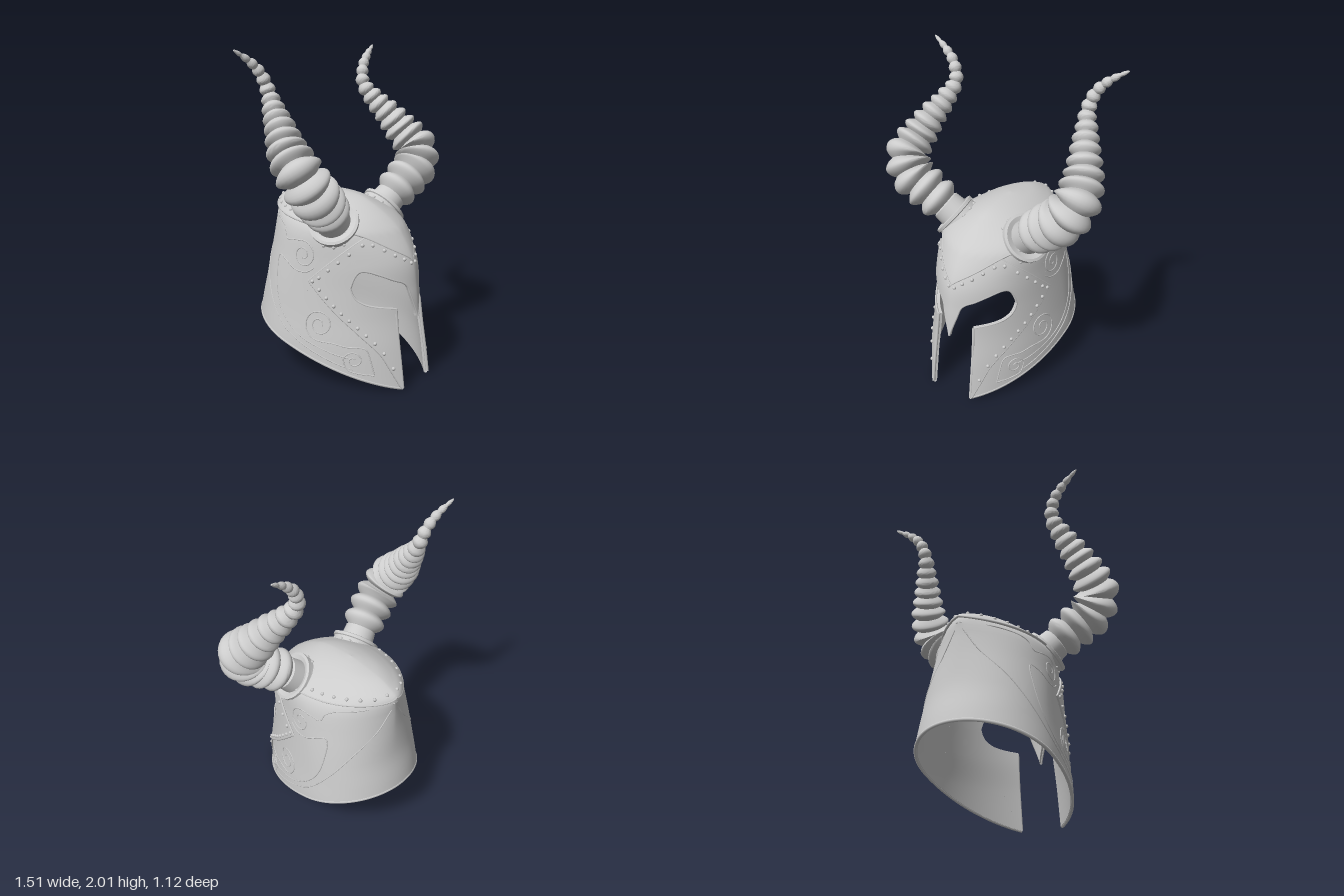
import * as THREE from 'three';
import { toCreasedNormals } from 'three/addons/utils/BufferGeometryUtils.js';

const grey = new THREE.MeshStandardMaterial({ color: 0xcccccc, side: THREE.DoubleSide });
const V = (x, y, z) => new THREE.Vector3(x, y, z);

// Smooth interpolation through [key, value] pairs
function lookup(t, k) {
  const n = t.length - 1;
  if (k <= t[0][0]) return t[0][1];
  if (k >= t[n][0]) return t[n][1];
  let i = 0;
  while (k > t[i + 1][0]) i++;
  const slope = (a, b) => (t[b][1] - t[a][1]) / (t[b][0] - t[a][0]);
  const h = t[i + 1][0] - t[i][0], s = (k - t[i][0]) / h;
  const m0 = slope(Math.max(i - 1, 0), i + 1) * h, m1 = slope(i, Math.min(i + 2, n)) * h;
  return (2 * s ** 3 - 3 * s * s + 1) * t[i][1] + (s ** 3 - 2 * s * s + s) * m0
    + (3 * s * s - 2 * s ** 3) * t[i + 1][1] + (s ** 3 - s * s) * m1;
}

// Horizontal sections of the helmet by height: front, back, half width, centre
const TOP = 1.131;
const keys = [0, 0.25, 0.43, 0.6, 0.77, 0.93, 0.99, 1.04, 1.067, 1.103, 1.123, TOP];
const table = v => v.map((e, i) => [keys[i], e]);
const front = table([0.618, 0.58, 0.549, 0.532, 0.503, 0.415, 0.35, 0.275, 0.225, 0.14, 0.03, -0.1]);
const back = table([-0.61, -0.58, -0.546, -0.506, -0.488, -0.48, -0.48, -0.476, -0.432, -0.33, -0.19, -0.1]);
const width = table([0.43, 0.42, 0.4, 0.383, 0.365, 0.345, 0.31, 0.235, 0.19, 0.115, 0.05, 0]);
const centre = table([-0.15, -0.14, -0.13, -0.11, -0.06, 0, 0, -0.03, -0.06, -0.08, -0.09, -0.1]);

// Helmet surface: angle a runs from the nose (0) over the left side to the back (PI)
function surface(a, y) {
  const c = Math.cos(a), s = Math.sin(a), zc = lookup(centre, y);
  const reach = c > 0 ? lookup(front, y) - zc : zc - lookup(back, y);
  const high = THREE.MathUtils.smoothstep(y, 0.6, 1);
  const p = 1 + (c > 0 ? 0.25 : 0.3 * high) * Math.abs(c);
  return V(lookup(width, y) * Math.sign(s) * Math.abs(s) ** p, y, zc + reach * c);
}
function normalAt(a, y) {
  const yy = Math.min(y, TOP - 0.002), e = 0.001;
  const da = surface(a + 0.02, yy).sub(surface(a - 0.02, yy));
  return da.cross(surface(a, yy + e).sub(surface(a, yy - e))).normalize();
}
const lifted = (a, y, off) => surface(a, y).addScaledVector(normalAt(a, y), off);
const half = a => Math.abs(Math.atan2(Math.sin(a), Math.cos(a)));
function angleOf(z, y) {
  const zc = lookup(centre, y), d = z - zc;
  return Math.acos(THREE.MathUtils.clamp(d / (d > 0 ? lookup(front, y) - zc : zc - lookup(back, y)), -1, 1));
}
// Height where the column at angle a meets an edge given as y = f(z), by damped iteration
function meet(a, f) {
  let y = 0.5;
  for (let i = 0; i < 30; i++) y = (y + f(surface(a, y).z)) / 2;
  return y;
}

// Edges of the plates
const GAP = 0.425, EYE = 0.94, POINT = angleOf(0.02, 0.65);
const domeTable = [[0, 0.77], [0.35, 0.84], [0.75, 0.93], [1.1, 0.96], [1.6, 0.98], [2.2, 1.0], [Math.PI, 1.04]];
const lowTable = [[0.02, 0.65], [0.2, 0.47], [0.32, 0.36], [0.44, 0.23], [0.5, 0.11], [0.545, 0.01]];
const eyeTopTable = [[0, 0.43], [0.09, 0.5], [0.17, 0.57], [0.225, 0.625], [0.31, 0.655], [0.427, 0.673], [0.62, 0.71], [0.766, 0.733], [0.86, 0.728], [0.91, 0.69], [EYE, 0.63]];
const eyeLowTable = [[GAP, 0.5], [0.734, 0.525], [0.855, 0.555], [0.91, 0.59], [EYE, 0.63]];
const domeEdge = a => lookup(domeTable, half(a));
const rim = a => meet(half(a), z => 0.008 + (0.55 - z) * 0.336);
const maskLow = a => Math.max(rim(a), meet(half(a), z => lookup(lowTable, z)));
const maskTop = a => Math.min(domeEdge(a), meet(half(a), z => 0.65 + (z - 0.02) * 0.933));
const eyeTop = a => lookup(eyeTopTable, half(a));
const eyeLow = a => lookup(eyeLowTable, half(a));

// Closed curved plate between two edges
function plate(a0, a1, low, high, off, nu, nv, ease = t => t) {
  const pos = [], nor = [], grid = [];
  for (let i = 0; i <= nu; i++) {
    const a = a0 + (a1 - a0) * i / nu, y0 = low(a), y1 = Math.max(y0, high(a));
    grid.push(Array.from({ length: nv + 1 }, (_, j) => {
      const y = y0 + (y1 - y0) * ease(j / nv), n = normalAt(a, y), p = surface(a, y);
      return { n, o: p.clone().addScaledVector(n, off), i: p.clone().addScaledVector(n, -0.018), m: n.clone().negate() };
    }));
  }
  const quad = (p, n) => [0, 1, 2, 0, 2, 3].forEach(k => {
    pos.push(...p[k].toArray());
    nor.push(...(n ? n[k] : p[2].clone().sub(p[0]).cross(p[3].clone().sub(p[1])).normalize()).toArray());
  });
  for (let i = 0; i < nu; i++) {
    const A = grid[i], B = grid[i + 1];
    for (let j = 0; j < nv; j++) {
      const c = [A[j], B[j], B[j + 1], A[j + 1]], r = c.slice().reverse();
      quad(c.map(v => v.o), c.map(v => v.n));
      quad(r.map(v => v.i), r.map(v => v.m));
    }
    quad([A[0].i, B[0].i, B[0].o, A[0].o]);
    quad([A[nv].o, B[nv].o, B[nv].i, A[nv].i]);
  }
  const S = grid[0], E = grid[nu];
  for (let j = 0; j < nv; j++) {
    quad([S[j].i, S[j].o, S[j + 1].o, S[j + 1].i]);
    quad([E[j].o, E[j].i, E[j + 1].i, E[j + 1].o]);
  }
  const g = new THREE.BufferGeometry();
  g.setAttribute('position', new THREE.Float32BufferAttribute(pos, 3));
  g.setAttribute('normal', new THREE.Float32BufferAttribute(nor, 3));
  return g;
}

// Horn of stacked discs swept along a curve, with a smooth neck
function hornGeometry(curve) {
  const N = 1200, NECK = 0.1, RINGS = 18, SEG = 28, STEP = 10;
  const frames = curve.computeFrenetFrames(N), rows = [[0, 0.112], [NECK * 0.95, 0.1]];
  const peak = [[0, 0.132], [0.15, 0.146], [0.31, 0.143], [0.43, 0.122], [0.53, 0.098], [0.635, 0.074], [0.735, 0.05], [0.82, 0.039], [0.9, 0.028], [1, 0.007]];
  for (let k = 0; k <= RINGS * STEP; k++) {
    const t = (-0.65 + Math.sqrt(0.4225 + 1.4 * k / (RINGS * STEP))) / 0.7;
    const bump = Math.abs(Math.sin(Math.PI * k / STEP));
    rows.push([NECK + (1 - NECK) * t, lookup(peak, t) * (0.66 + 0.34 * bump)]);
  }
  rows.push([1, 0]);
  const pos = [], index = [];
  rows.forEach(([t, r], i) => {
    const f = Math.min(N, Math.round(t * N)), c = curve.getPointAt(f / N);
    for (let j = 0; j < SEG; j++) {
      const a = j / SEG * Math.PI * 2;
      pos.push(...c.clone().addScaledVector(frames.normals[f], r * Math.cos(a)).addScaledVector(frames.binormals[f], r * Math.sin(a)).toArray());
      const p = i * SEG + j, q = i * SEG + (j + 1) % SEG;
      if (i < rows.length - 1) index.push(p, q, q + SEG, p, q + SEG, p + SEG);
    }
  });
  const g = new THREE.BufferGeometry();
  g.setAttribute('position', new THREE.Float32BufferAttribute(pos, 3));
  g.setIndex(index);
  return toCreasedNormals(g, 0.75);
}

// Spiral that winds in to its centre, in side coordinates [z, y]
const spiral = (z, y, r, start, turns) => Array.from({ length: 25 }, (_, i) => {
  const t = i / 24, a = start + turns * t * Math.PI * 2, k = r * (1 - 0.82 * t);
  return [z + k * Math.cos(a), y + k * Math.sin(a)];
});

export function createModel() {
  const model = new THREE.Group();
  const add = (name, g, parent = model) => {
    const m = new THREE.Mesh(g, grey);
    m.name = name;
    parent.add(m);
    return m;
  };
  const tube = (name, pts, r, n = 80) => add(name, new THREE.TubeGeometry(new THREE.CatmullRomCurve3(pts), n, r, 6));
  const along = (a0, a1, f, off, n = 40) => Array.from({ length: n + 1 }, (_, i) => {
    const a = a0 + (a1 - a0) * i / n;
    return lifted(a, f(a), off);
  });
  const stud = new THREE.SphereGeometry(0.0115, 10, 8);
  const rivet = (a, y) => add('rivet', stud).position.copy(lifted(a, y, 0.013));

  // Plates that span both sides
  add('dome', plate(-Math.PI, Math.PI, domeEdge, () => TOP, 0.014, 128, 18, t => 1 - (1 - t) ** 2));
  add('browAndNoseGuard', plate(-EYE, EYE, eyeTop, maskTop, 0.012, 96, 10));
  add('backWall', plate(POINT, 2 * Math.PI - POINT, rim, domeEdge, 0, 72, 16));
  tube('domeTrim', along(-Math.PI, Math.PI, domeEdge, 0.01, 100), 0.006, 200);
  tube('lowerRim', along(GAP, 2 * Math.PI - GAP, rim, -0.006, 100), 0.01, 160);

  // Engraved scrollwork, as [z, y] paths
  const scrolls = [
    [[-0.48, 1.005], [-0.37, 0.98], [-0.24, 0.95], [-0.2, 0.92], [-0.18, 0.875], [-0.1, 0.88], ...spiral(-0.03, 0.8, 0.085, 1.6, -1.6)],
    [[0.05, 0.73], [0, 0.7], [-0.08, 0.7], [-0.16, 0.74], [-0.235, 0.76], [-0.24, 0.62], [-0.2, 0.47], [-0.1, 0.35], [0.02, 0.28], [0.2, 0.22], [0.3, 0.2]],
    [[-0.475, 0.96], [-0.45, 0.82], [-0.38, 0.66], [-0.28, 0.49], [-0.15, 0.34], [0.02, 0.24], [0.22, 0.16], [0.41, 0.1]],
    [[0.42, 0.1], [0.4, 0.18], [0.37, 0.26], [0.33, 0.27], [0.27, 0.27], [0.19, 0.285], ...spiral(0.1, 0.39, 0.1, -1.6, -1.8)],
    [[0.42, 0.1], [0.34, 0.11], [0.28, 0.13], ...spiral(0.31, 0.19, 0.055, Math.PI, -1.4)],
  ];

  for (const s of [1, -1]) {
    const span = (a, b) => (s > 0 ? [a, b] : [-b, -a]);
    const side = s > 0 ? 'left' : 'right';
    // Mask and side wall
    add(side + 'CheekGuard', plate(...span(GAP, EYE), maskLow, eyeLow, 0.012, 36, 12));
    add(side + 'Temple', plate(...span(EYE, POINT), maskLow, maskTop, 0.012, 24, 12));
    add(side + 'LowerWall', plate(...span(GAP, POINT), rim, maskLow, 0, 40, 10));
    add(side + 'UpperWall', plate(...span(0.6, POINT), maskTop, domeEdge, 0, 32, 6));
    // Raised trims around the eye, face gap and mask
    tube(side + 'EyeTrimUpper', along(0, s * EYE, eyeTop, 0.006), 0.007);
    tube(side + 'EyeTrimLower', along(s * GAP, s * EYE, eyeLow, 0.006), 0.007);
    tube(side + 'GapTrim', [0.015, 0.17, 0.34, 0.5].map(y => lifted(s * GAP, y, 0.004)), 0.01, 20);
    tube(side + 'MaskTrimLower', along(s * GAP, s * POINT, maskLow, 0.007), 0.006);
    tube(side + 'MaskTrimUpper', along(s * 0.6, s * POINT, maskTop, 0.007), 0.006);
    scrolls.forEach(path => tube(side + 'Scroll', path.map(([z, y]) => lifted(s * angleOf(z, y), y, 0)), 0.004, 110));
    // Rivets on the mask border and the dome
    for (let i = 0; i < 11; i++) {
      const z = 0.5 - 0.45 * i / 10, y = lookup(lowTable, z) + 0.032;
      rivet(s * angleOf(z, y), y);
    }
    for (let i = 0; i < 5; i++) {
      const z = 0.09 + 0.22 * i / 4, y = 0.65 + (z - 0.02) * 0.933 - 0.036;
      rivet(s * angleOf(z, y), y);
    }
    for (let i = 0; i < 5; i++) {
      const a = 0.09 + 0.14 * i;
      rivet(s * a, domeEdge(a) - 0.03);
    }
    for (let i = 0; i < 7; i++) {
      const a = Math.PI - 1.45 * ((2 * i + 1) / 13) ** 0.65;
      rivet(s * a, domeEdge(a) + 0.027);
    }
    // Horn
    const curve = new THREE.CatmullRomCurve3([
      V(0.23, 0.97, 0.11), V(0.33, 1.06, 0.145), V(0.45, 1.155, 0.18), V(0.55, 1.235, 0.195), V(0.612, 1.34, 0.16),
      V(0.593, 1.45, 0.06), V(0.55, 1.56, -0.025), V(0.505, 1.66, -0.11), V(0.475, 1.76, -0.175),
      V(0.505, 1.86, -0.2), V(0.57, 1.93, -0.215), V(0.68, 2.0, -0.24)].map(p => p.setX(p.x * s)));
    add(side + 'Horn', hornGeometry(curve));
    // Riveted collar at the horn base
    const collar = new THREE.Group();
    collar.name = side + 'HornCollar';
    collar.position.set(s * 0.25, 0.985, 0.125);
    collar.quaternion.setFromUnitVectors(V(0, 1, 0), V(s * 0.72, 0.65, 0.24).normalize());
    const profile = [[0.095, -0.06], [0.148, -0.06], [0.142, 0.015], [0.151, 0.02], [0.151, 0.038], [0.135, 0.043], [0.095, 0.03]];
    add('collarBand', toCreasedNormals(new THREE.LatheGeometry(profile.map(p => new THREE.Vector2(...p)), 40), 0.6), collar);
    for (let i = 0; i < 14; i++) {
      const a = i / 14 * Math.PI * 2;
      add('collarRivet', stud, collar).position.set(0.143 * Math.cos(a), -0.012, 0.143 * Math.sin(a));
    }
    model.add(collar);
  }
  return model;
}
